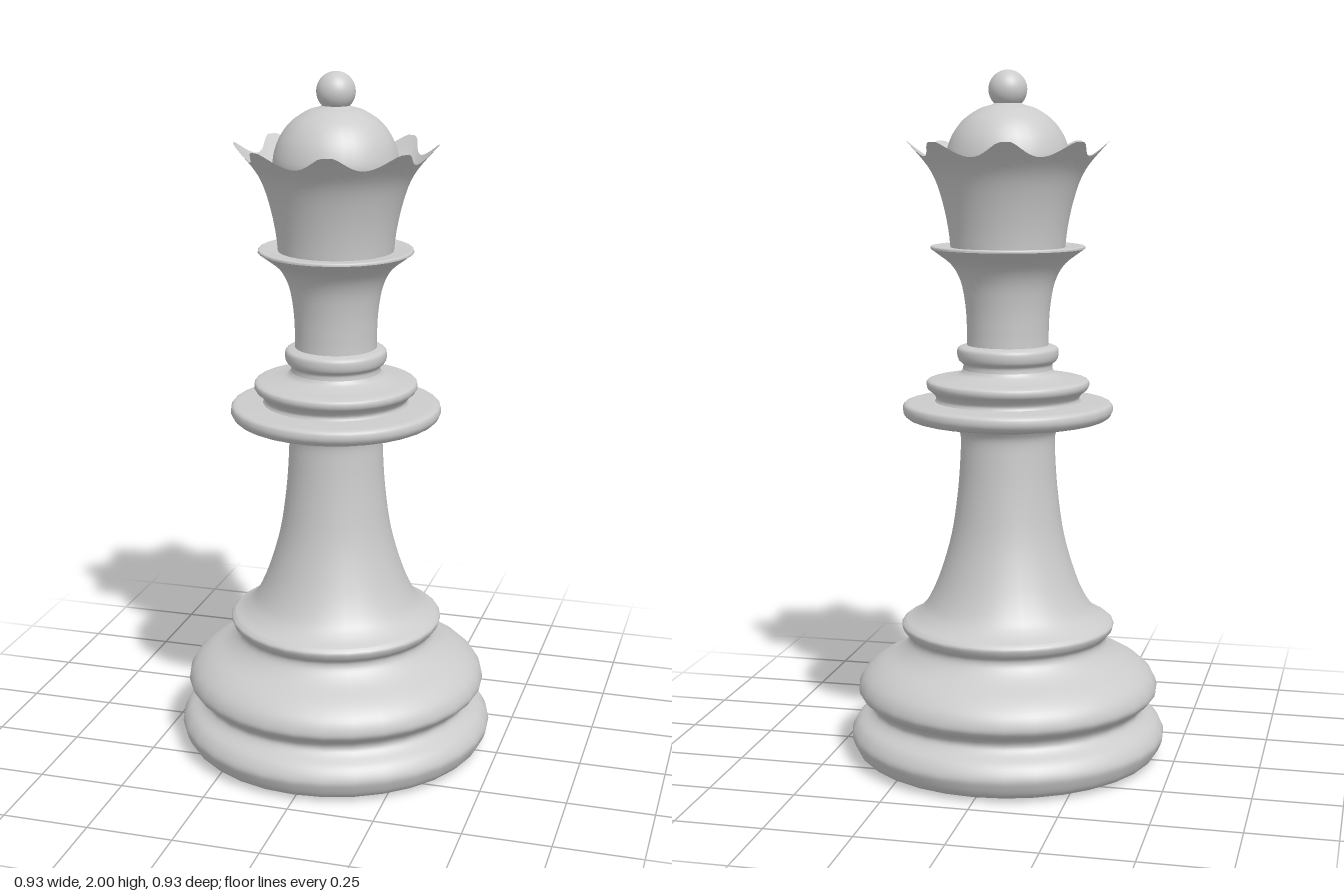
import * as THREE from 'three';
import { mergeVertices } from 'three/addons/utils/BufferGeometryUtils.js';

const material = new THREE.MeshStandardMaterial({ color: 0xcccccc, side: THREE.DoubleSide });
const toPoints = (pairs) => pairs.map(([r, y]) => new THREE.Vector2(r, y));

// Turned part: a smooth curve through [radius, height] pairs
function turned(name, pairs, samples = pairs.length * 4, sides = 32) {
  const profile = new THREE.SplineCurve(toPoints(pairs)).getPoints(samples);
  const mesh = new THREE.Mesh(new THREE.LatheGeometry(profile, sides), material);
  mesh.name = name;
  return mesh;
}

// Crown wall: a lathe whose rows are remapped by place(v, angle) -> (radius, height)
function crownWall(name, place) {
  const rows = Array.from({ length: 15 }, (_, i) => new THREE.Vector2(1, i / 14));
  let geometry = new THREE.LatheGeometry(rows, 128);
  const p = geometry.attributes.position;
  for (let i = 0; i < p.count; i++) {
    const angle = Math.atan2(p.getZ(i), p.getX(i));
    const { x: r, y } = place(p.getY(i), angle);
    p.setXYZ(i, r * Math.cos(angle), y, r * Math.sin(angle));
  }
  geometry.deleteAttribute('uv');
  geometry.deleteAttribute('normal');
  geometry = mergeVertices(geometry, 1e-5);
  geometry.computeVertexNormals();
  const mesh = new THREE.Mesh(geometry, material);
  mesh.name = name;
  return mesh;
}

export function createModel() {
  const model = new THREE.Group();
  model.name = 'chessQueen';

  // Foot with a shallow hollow underneath
  model.add(turned('footHollow', [[0, 0.045], [0.2, 0.036], [0.34, 0.014], [0.4, 0]]));
  model.add(turned('foot', [
    [0.4, 0], [0.44, 0.015], [0.46, 0.05], [0.463, 0.075], [0.445, 0.105], [0.412, 0.128], [0.4, 0.147],
    [0.41, 0.167], [0.433, 0.185], [0.442, 0.207], [0.428, 0.242], [0.39, 0.275], [0.33, 0.307],
    [0.298, 0.335], [0.291, 0.358], [0.306, 0.376], [0.313, 0.395], [0.302, 0.407],
  ]));

  // Flared stem running up into the wide collar
  model.add(turned('stem', [
    [0.302, 0.407], [0.27, 0.425], [0.237, 0.46], [0.2, 0.54], [0.165, 0.66], [0.146, 0.79],
    [0.138, 0.9], [0.138, 0.955], [0.15, 0.98],
  ]));
  model.add(turned('collar', [
    [0.138, 0.965], [0.155, 0.983], [0.21, 0.993], [0.28, 1.005], [0.301, 1.02], [0.305, 1.038],
    [0.296, 1.052], [0.26, 1.055], [0.212, 1.057],
  ]));

  // Stacked rings above the collar
  model.add(turned('lowerRing', [
    [0.212, 1.055], [0.208, 1.067], [0.218, 1.082], [0.233, 1.095], [0.236, 1.11], [0.226, 1.12],
    [0.18, 1.127], [0.142, 1.137], [0.13, 1.15],
  ]));
  model.add(turned('upperRing', [
    [0.13, 1.15], [0.13, 1.165], [0.143, 1.178], [0.147, 1.197], [0.142, 1.213], [0.118, 1.22],
  ]));

  // Upper neck with its flared ledge
  model.add(turned('neck', [
    [0.118, 1.215], [0.118, 1.26], [0.122, 1.33], [0.135, 1.4], [0.162, 1.45], [0.205, 1.485], [0.222, 1.497],
  ]));
  model.add(turned('neckLedge', [[0.222, 1.497], [0.218, 1.505], [0.19, 1.503], [0.15, 1.5]]));

  // Crown: eight points with scallops cut between them
  const flare = new THREE.SplineCurve(toPoints([
    [0.164, 1.495], [0.17, 1.55], [0.184, 1.62], [0.206, 1.69], [0.235, 1.74], [0.288, 1.8],
  ]));
  const tipAngle = THREE.MathUtils.degToRad(-11);
  const step = Math.PI / 4;
  const rimAt = (angle) => {
    const k = (angle - tipAngle) / step;
    const w = Math.abs(k - Math.round(k)) * 2; // 0 on a tip, 1 mid scallop
    const s = Math.max(0, (w - 0.15) / 0.85);
    return 1 - 0.14 * (1 - (1 - s) ** 2);
  };
  const floor = new THREE.Vector2(0.165, 1.715);
  model.add(crownWall('crownOutside', (v, angle) => flare.getPoint(v * rimAt(angle))));
  model.add(crownWall('crownInside', (v, angle) => {
    const point = flare.getPoint(rimAt(angle)).lerp(floor, v);
    point.y -= 0.05 * v * (1 - v);
    return point;
  }));

  // Domed cap and finial ball
  model.add(turned('dome', [
    [0.165, 1.71], [0.177, 1.74], [0.174, 1.775], [0.157, 1.82], [0.125, 1.862], [0.08, 1.892],
    [0.045, 1.903], [0.03, 1.915],
  ]));
  const ball = new THREE.Mesh(new THREE.SphereGeometry(0.055, 32, 20), material);
  ball.position.y = 1.945;
  ball.name = 'finial';
  model.add(ball);

  return model;
}
